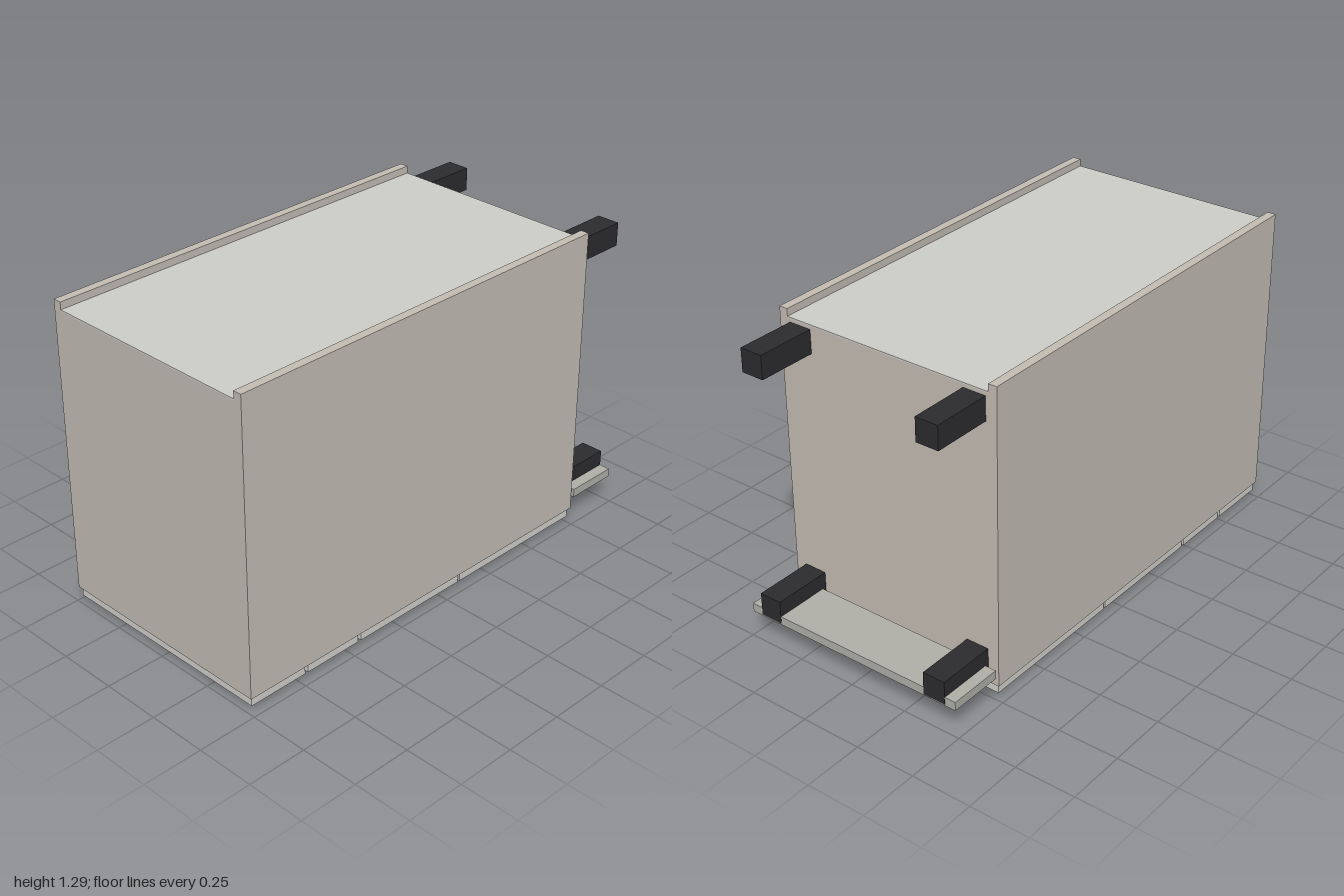
import * as THREE from 'three';

const mat = (color) => new THREE.MeshStandardMaterial({ color });

export function createModel() {
  const model = new THREE.Group();
  const carcass = mat(0xc4bdb4), backing = mat(0xcfcec8), drawer = mat(0xd2d1cb);
  const shelf = mat(0xb0b0a9), metal = mat(0x808086), black = mat(0x2c2c2f);

  // Box given by its extents along each axis
  function box(name, material, [x0, x1], [y0, y1], [z0, z1]) {
    const mesh = new THREE.Mesh(new THREE.BoxGeometry(x1 - x0, y1 - y0, z1 - z0), material);
    mesh.position.set((x0 + x1) / 2, (y0 + y1) / 2, (z0 + z1) / 2);
    mesh.name = name;
    model.add(mesh);
  }

  // Cabinet lying on its drawer fronts: its top faces +z, its feet point to -z
  const inner = 0.45, outer = 0.486, low = 0.07, foot = -0.755;
  box('leftSidePanel', carcass, [inner, outer], [low, 1.29], [foot, 1]);
  box('rightSidePanel', carcass, [-outer, -inner], [low, 1.29], [foot, 1]);
  box('topPanel', carcass, [-inner, inner], [low, 1.254], [0.965, 1]);
  box('bottomPanel', carcass, [-inner, inner], [low, 1.254], [foot, foot + 0.035]);
  box('backPanel', backing, [-inner, inner], [1.254, 1.26], [foot, 1]);

  // Drawer fronts, each with a bar handle: [zMin, zMax, handleZ]
  const drawers = [
    [0.73, 0.99, 0.862],
    [0.46, 0.716, 0.587],
    [-0.085, 0.445, 0.182],
    [-0.745, -0.095, -0.276],
  ];
  drawers.forEach(([z0, z1, h], i) => {
    box(`drawerFront${i + 1}`, drawer, [-0.477, 0.477], [0.031, 0.067], [z0, z1]);
    box(`drawerHandle${i + 1}`, metal, [-0.117, 0.117], [0, 0.031], [h - 0.014, h + 0.014]);
  });

  // Four square feet
  for (const side of [-1, 1]) {
    const x = side * 0.391;
    for (const y of [0.168, 1.193]) {
      box('foot', black, [x - 0.048, x + 0.048], [y - 0.048, y + 0.048], [-1, foot]);
    }
  }

  // Plinth board across the front feet
  box('plinth', shelf, [-outer, outer], [0.115, 0.151], [-0.999, -0.772]);
  return model;
}
